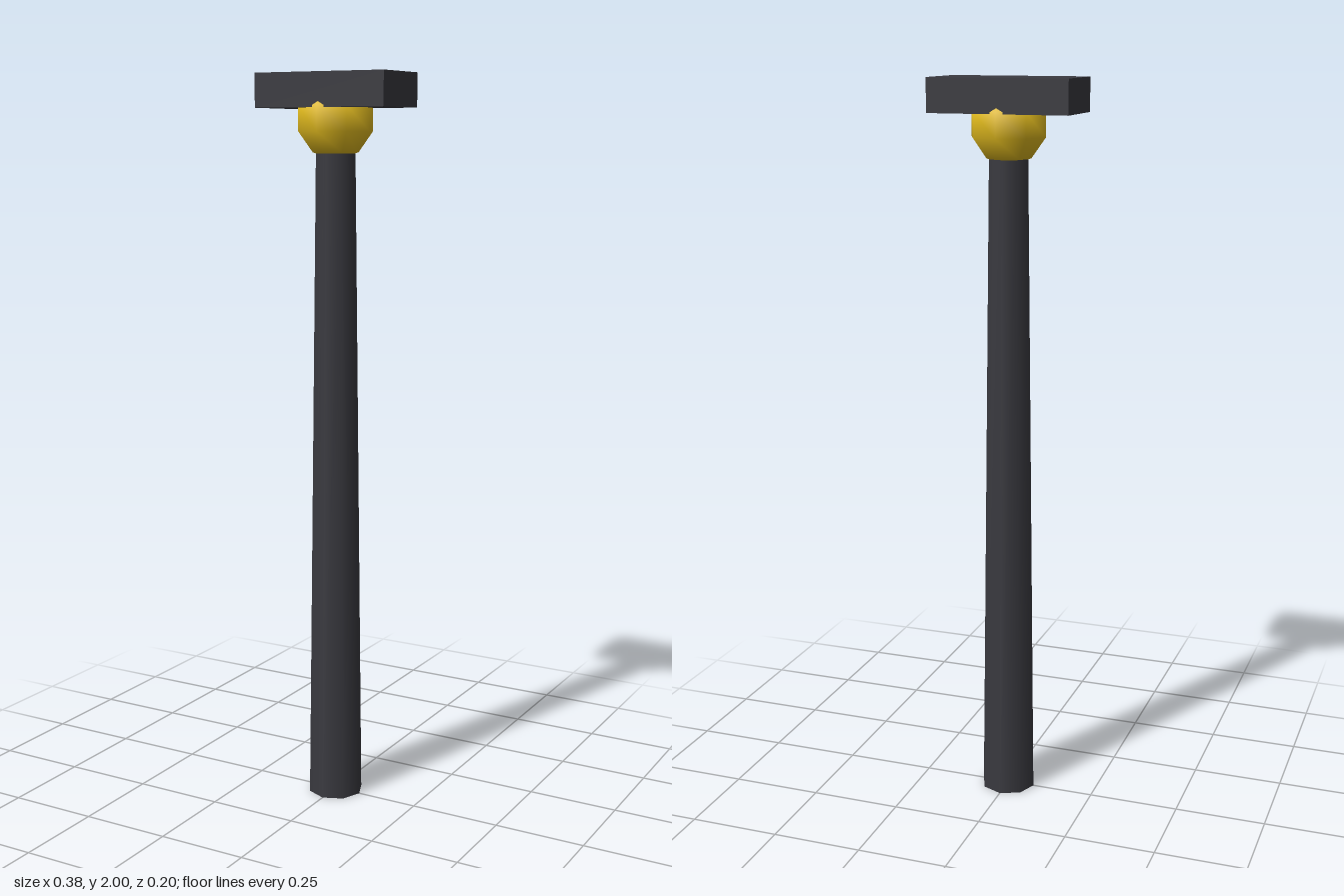
import * as THREE from 'three';

export function createModel() {
  const group = new THREE.Group();
  const dark = new THREE.MeshStandardMaterial({ color: 0x3a3a40 });
  const yellow = new THREE.MeshStandardMaterial({ color: 0xe8c020 });

  const add = (name, geometry, material, y) => {
    const mesh = new THREE.Mesh(geometry, material);
    mesh.name = name;
    mesh.position.y = y;
    group.add(mesh);
  };

  // Tapered eight-sided pole, running up into the lamp head
  const poleHeight = 1.91;
  add('pole', new THREE.CylinderGeometry(0.053, 0.0765, poleHeight, 8), dark, poleHeight / 2);

  // Low-poly bulb, half sunk into the cap
  add('bulb', new THREE.SphereGeometry(0.1075, 8, 5), yellow, 1.882);

  // Rectangular cap on top
  add('cap', new THREE.BoxGeometry(0.383, 0.09, 0.19), dark, 1.955);

  return group;
}
